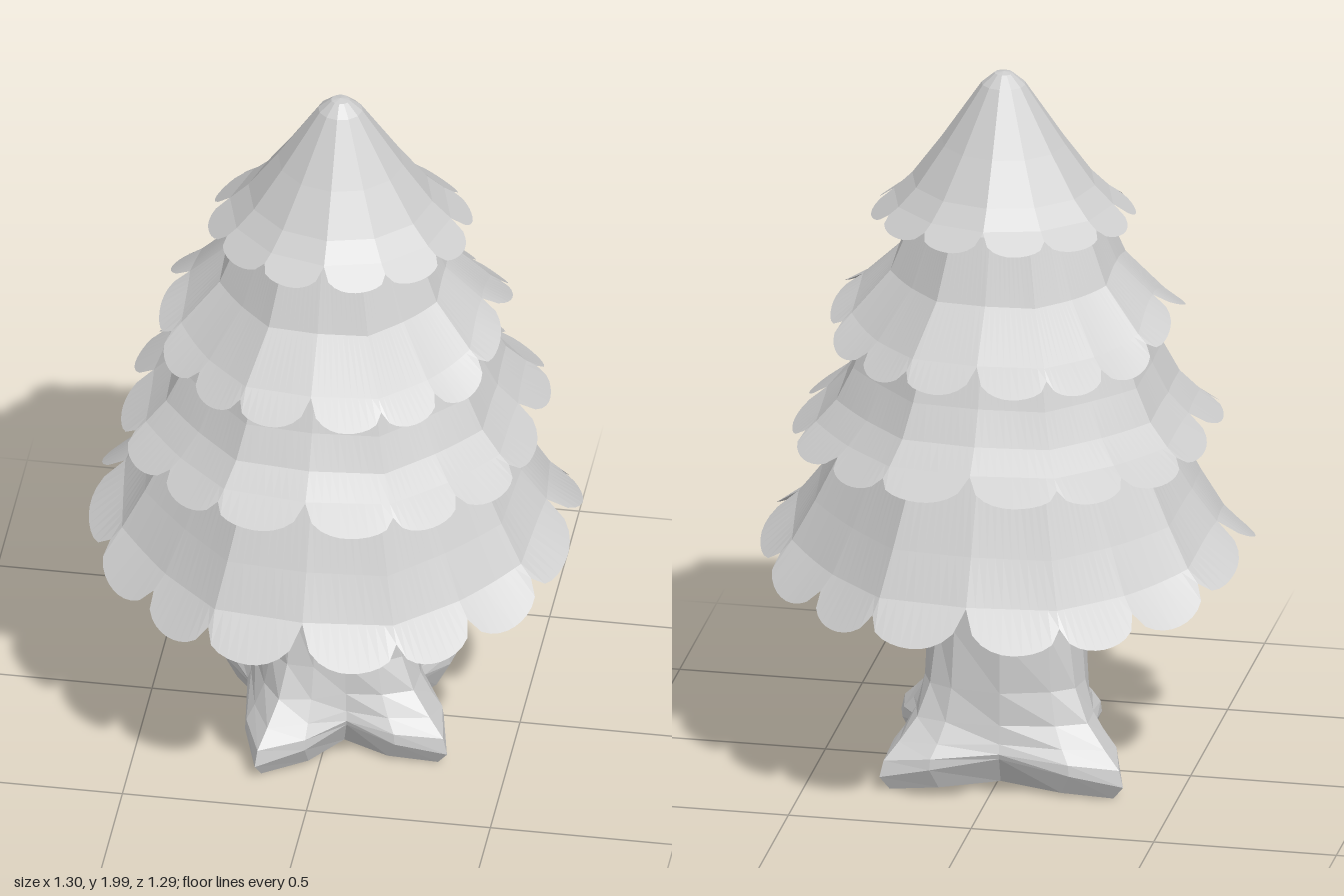
import * as THREE from 'three';

const TAU = Math.PI * 2;

// Skin a stack of closed rings (listed top to bottom, counted towards +z)
function skin(rings) {
  const n = rings[0].length;
  const pos = rings.flat(2);
  const index = [];
  for (let i = 0; i < rings.length - 1; i++) {
    for (let j = 0; j < n; j++) {
      const k = (j + 1) % n;
      const a = i * n + j, b = i * n + k, c = a + n, d = b + n;
      index.push(a, b, c, b, d, c);
    }
  }
  const g = new THREE.BufferGeometry();
  g.setAttribute('position', new THREE.Float32BufferAttribute(pos, 3));
  g.setIndex(index);
  const flat = g.toNonIndexed();
  flat.computeVertexNormals();
  return flat;
}

// Faceted skirt with two rounded lobes on the lower edge of every panel.
// The last two profile points [r, y] are the notch and the lobe tip.
// bulge pushes out the corners between panels, so that each panel is flat.
function tierGeometry({ profile, lobes, lift = 0, pull = 0, warp = 0, bulge = 0, zScale = 1 }) {
  const steps = 10;
  const last = profile.length - 1;
  const top = profile[0][1], bottom = profile[last][1];
  // lobes beside the main axes are a little wider
  const corner = (i) => {
    const a = (i / lobes) * TAU;
    return a + warp * Math.sin(4 * a);
  };
  // notches are deep on the main axes and shallow elsewhere
  const notchFloor = (i) => (Math.abs(Math.sin(2 * corner(i))) < 0.01 ? 0.03 : 0.4);
  const rings = profile.map((_, row) => {
    // panels grow rounder towards the tips
    const out = 1 + bulge * (1 - 0.6 * row / last);
    const ring = [];
    for (let i = 0; i < lobes; i++) {
      const a = corner(i), b = corner(i + 1);
      const ka = i % 2 ? out : 1, kb = i % 2 ? 1 : out;
      for (let s = 0; s < steps; s++) {
        const t = s / steps, u = 2 * t - 1;
        let [r, y] = profile[row];
        if (row === last) {
          const floor = notchFloor(t < 0.5 ? i : i + 1);
          const f = floor + (1 - floor) * Math.pow(1 - u * u, 0.55);
          const [nr, ny] = profile[last - 1];
          r = nr + (r - nr) * f;
          y = ny + (y - ny) * f;
        }
        // straight edges between the corners
        const cx = Math.cos(a) * ka * (1 - t) + Math.cos(b) * kb * t;
        const cz = Math.sin(a) * ka * (1 - t) + Math.sin(b) * kb * t;
        // side boughs are raised a little
        const drop = Math.pow((top - y) / (top - bottom), 1.5);
        const side = Math.pow(Math.abs(Math.cos(a + (b - a) * t)), 10) * drop;
        r -= pull * side;
        ring.push([cx * r, y + lift * side, cz * r * zScale]);
      }
    }
    return ring;
  });
  return skin(rings);
}

// Trunk flaring into four spreading roots
function trunkGeometry() {
  const roots = [[35, 0.415], [113, 0.41], [212, 0.425], [317, 0.405]];
  const spokes = [];
  roots.forEach(([deg, reach], i) => {
    const next = roots[(i + 1) % 4][0] + (i === 3 ? 360 : 0);
    const nextReach = roots[(i + 1) % 4][1];
    spokes.push([deg, 1, reach], [deg + 17, 0.5, reach],
      [(deg + next) / 2, 0, 0.4], [next - 17, 0.5, nextReach]);
  });
  // [y, radius, share of the root reach, lowering of y at the roots]
  const levels = [
    [0.76, 0, 0, 0], [0.76, 0.215, 0, 0], [0.45, 0.215, 0.04, 0], [0.29, 0.215, 0.16, 0],
    [0.2, 0.22, 0.36, 0], [0.15, 0.23, 0.65, 0.01], [0.125, 0.24, 0.92, 0.03],
    [0.11, 0.235, 1, 0.06], [0.03, 0.19, 0.85, 0.02], [0.03, 0, 0, 0],
  ];
  return skin(levels.map(([y, r, share, lower]) => spokes.map(([deg, bump, reach]) => {
    const a = deg * Math.PI / 180;
    const radius = r + Math.max(0, reach - r) * share * bump;
    return [Math.cos(a) * radius, y - lower * bump, Math.sin(a) * radius];
  })));
}

export function createModel() {
  const group = new THREE.Group();
  const paleGrey = new THREE.MeshStandardMaterial({
    color: 0xcccccc, flatShading: true, side: THREE.DoubleSide,
  });
  paleGrey.name = 'paleGrey';

  const add = (name, geometry, x = 0) => {
    const mesh = new THREE.Mesh(geometry, paleGrey);
    mesh.name = name;
    mesh.position.x = x;
    group.add(mesh);
  };

  add('trunkWithRoots', trunkGeometry());

  // Bough tiers from the ground up
  add('bottomTier', tierGeometry({
    profile: [[0.36, 1.08], [0.41, 0.98], [0.5, 0.79], [0.565, 0.67], [0.66, 0.57]],
    lobes: 16, lift: 0.11, pull: -0.01, warp: 0.03, bulge: 0.085,
  }));
  add('lowerMiddleTier', tierGeometry({
    profile: [[0.3, 1.42], [0.335, 1.35], [0.405, 1.18], [0.455, 1.09], [0.515, 1.03], [0.6, 0.97]],
    lobes: 16, lift: 0.03, pull: 0.025, warp: 0.04, bulge: 0.085,
  }));
  add('upperMiddleTier', tierGeometry({
    profile: [[0.2, 1.66], [0.24, 1.61], [0.31, 1.44], [0.42, 1.31], [0.5, 1.245]],
    lobes: 16, lift: 0.1, pull: 0.03, warp: 0.03, bulge: 0.085,
  }));
  add('topTier', tierGeometry({
    profile: [[0, 2], [0.025, 1.995], [0.06, 1.965], [0.17, 1.8], [0.25, 1.69], [0.3, 1.64], [0.37, 1.59]],
    lobes: 12, zScale: 0.92,
  }), 0.012);

  return group;
}
